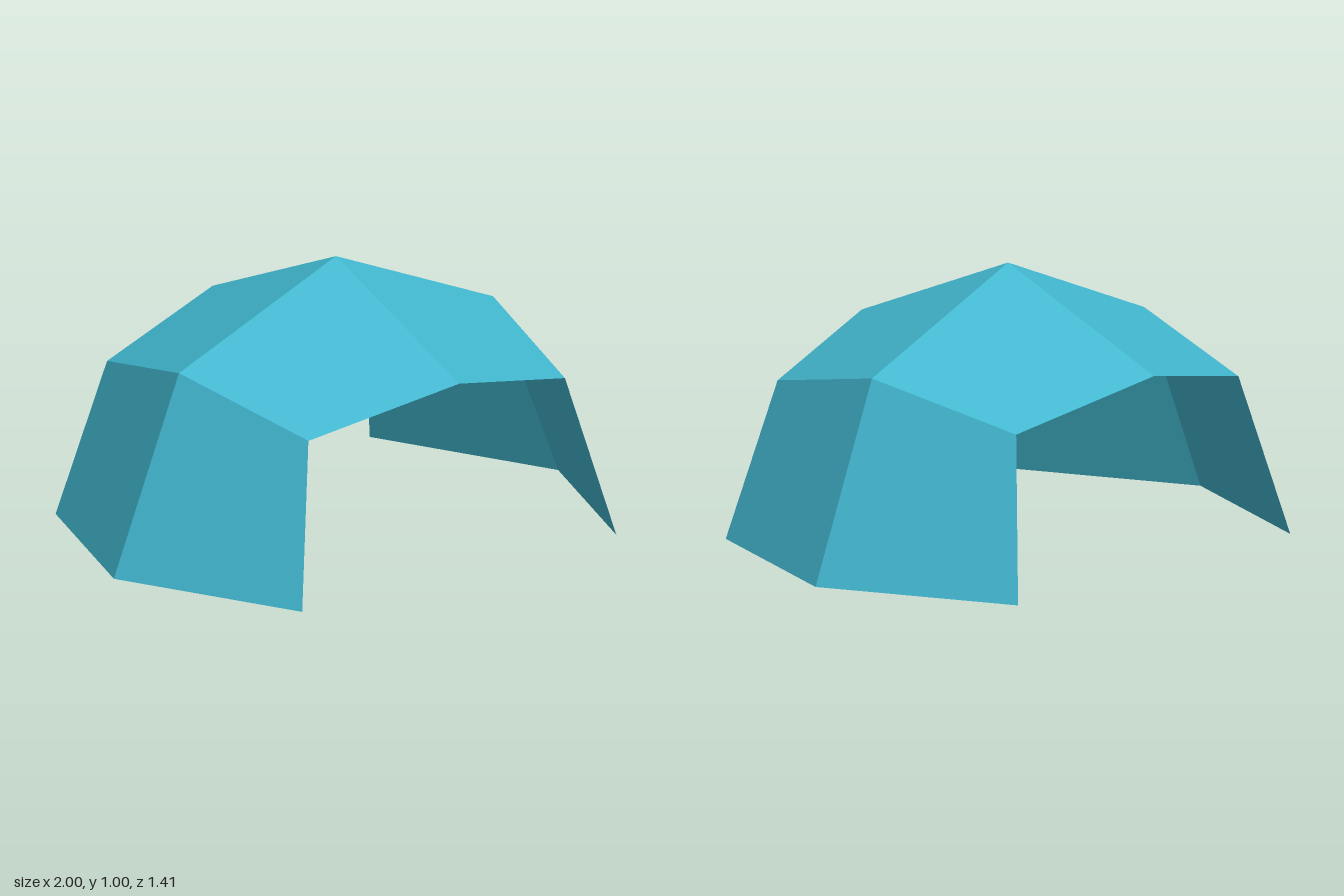
import * as THREE from 'three';

const V = (x, y, z) => new THREE.Vector3(x, y, z);

// Faceted shell panel: quads on the unit sphere, each from a centre axis and two side axes
function panel(name, centre, sides, material) {
  const positions = [], normals = [];
  for (let [u, v] of sides) {
    // keep corners counter-clockwise seen from outside
    if (u.clone().cross(v).dot(centre) < 0) [u, v] = [v, u];
    const q = [
      centre.clone(),
      centre.clone().add(u),
      centre.clone().add(u).add(v),
      centre.clone().add(v),
    ].map((p) => p.normalize());
    // one flat normal for the whole quad
    const n = q[2].clone().sub(q[0]).cross(q[3].clone().sub(q[1])).normalize();
    for (const i of [0, 1, 2, 0, 2, 3]) {
      positions.push(...q[i].toArray());
      normals.push(...n.toArray());
    }
  }
  const geometry = new THREE.BufferGeometry();
  geometry.setAttribute('position', new THREE.Float32BufferAttribute(positions, 3));
  geometry.setAttribute('normal', new THREE.Float32BufferAttribute(normals, 3));
  const mesh = new THREE.Mesh(geometry, material);
  mesh.name = name;
  return mesh;
}

export function createModel() {
  const group = new THREE.Group();
  group.name = 'archedShell';
  const teal = new THREE.MeshStandardMaterial({ color: 0x42b8d0, side: THREE.DoubleSide });
  teal.name = 'teal';

  // Roof: four quads round the peak
  const roof = [];
  for (const sx of [1, -1]) for (const sz of [1, -1]) roof.push([V(sx, 0, 0), V(0, 0, sz)]);
  group.add(panel('roof', V(0, 1, 0), roof, teal));

  // Side walls: two quads each, from the ground to the roof edge
  for (const [name, sx] of [['leftWall', 1], ['rightWall', -1]]) {
    const wall = [1, -1].map((sz) => [V(0, 1, 0), V(0, 0, sz)]);
    group.add(panel(name, V(sx, 0, 0), wall, teal));
  }
  return group;
}
